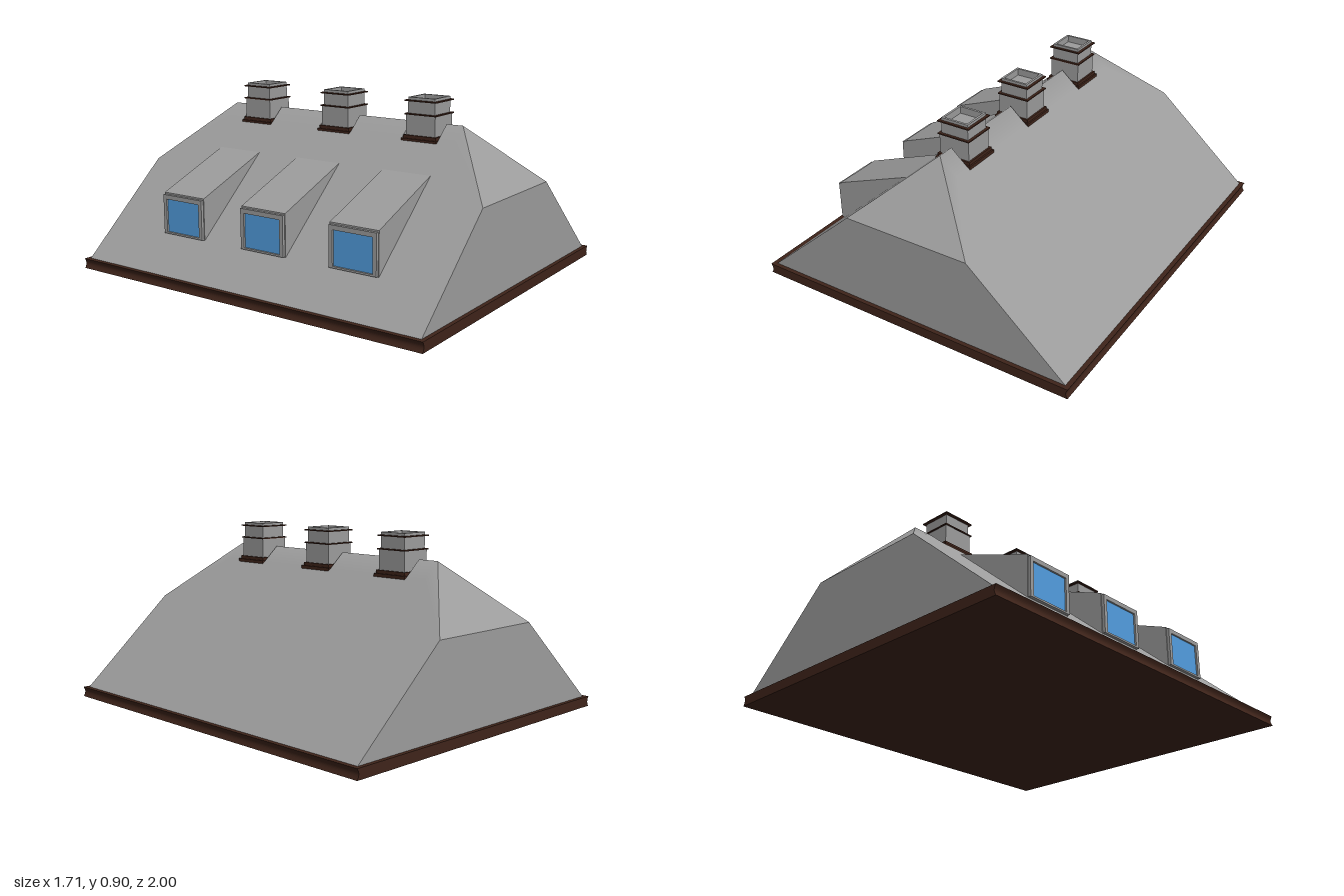
import * as THREE from 'three';

const grey = new THREE.MeshStandardMaterial({ color: 0x9c9c9c });
const brown = new THREE.MeshStandardMaterial({ color: 0x3f241a });
const blue = new THREE.MeshStandardMaterial({ color: 0x529ee0 });

const EAVE = 0.05, RIDGE = 0.78, HALF = 0.83, NOTCH = 0.7;
const chimneyZ = [-0.485, 0.015, 0.51];
const dormerZ = [-0.48, 0.02, 0.53];

function add(parent, name, geometry, material, x = 0, y = 0, z = 0) {
  const mesh = new THREE.Mesh(geometry, material);
  mesh.name = name;
  mesh.position.set(x, y, z);
  parent.add(mesh);
  return mesh;
}

const shapeOf = (pts) => new THREE.Shape(pts.map(([x, y]) => new THREE.Vector2(x, y)));
const rect = (x0, y0, x1, y1) => [[x0, y0], [x1, y0], [x1, y1], [x0, y1]];

function extrude(pts, depth, hole) {
  const shape = shapeOf(pts);
  if (hole) shape.holes.push(shapeOf(hole));
  return new THREE.ExtrudeGeometry(shape, { depth, bevelEnabled: false });
}

// Cross-sections along z, each cut off at height h; the ridge is softly shaded
function roofGeometry() {
  const stations = [[-0.98, 0.49], [-0.695, RIDGE]];
  for (const z of chimneyZ) {
    stations.push([z - 0.098, RIDGE], [z - 0.098, NOTCH], [z + 0.098, NOTCH], [z + 0.098, RIDGE]);
  }
  stations.push([0.695, RIDGE], [0.98, 0.49]);
  const halfAt = (h) => HALF * (RIDGE - h) / (RIDGE - EAVE);
  const rings = stations.map(([z, h]) => {
    const t = halfAt(h), low = Math.min(h, NOTCH), s = halfAt(low);
    return [[-HALF, EAVE], [-s, low], [-t, h], [t, h], [s, low], [HALF, EAVE]]
      .map(([x, y]) => new THREE.Vector3(x, y, z));
  });
  const pos = [], nor = [];
  const up = new THREE.Vector3(0, 1, 0);
  const triangle = (smooth, ...pts) => {
    const n = pts[1].clone().sub(pts[0]).cross(pts[2].clone().sub(pts[0]));
    if (n.length() < 1e-7) return;
    n.normalize();
    for (const p of pts) {
      pos.push(...p.toArray());
      nor.push(...(smooth && p.y === RIDGE ? up : n).toArray());
    }
  };
  const quad = (a, b, c, d, smooth = false) => {
    triangle(smooth, a, b, c);
    triangle(smooth, a, c, d);
  };
  for (let i = 0; i < rings.length - 1; i++) {
    const a = rings[i], b = rings[i + 1];
    for (let k = 0; k < 5; k++) quad(a[k], b[k], b[k + 1], a[k + 1], k === 1 || k === 3);
  }
  const back = rings[0], front = rings[rings.length - 1];
  quad(back[0], back[2], back[3], back[5]);
  quad(front[5], front[3], front[2], front[0]);
  const geo = new THREE.BufferGeometry();
  geo.setAttribute('position', new THREE.Float32BufferAttribute(pos, 3));
  geo.setAttribute('normal', new THREE.Float32BufferAttribute(nor, 3));
  return geo;
}

function makeChimney() {
  const g = new THREE.Group();
  g.name = 'chimney';
  const block = (name, half, y0, y1, mat) =>
    add(g, name, new THREE.BoxGeometry(half * 2, y1 - y0, half * 2), mat, 0, (y0 + y1) / 2, 0);
  block('flashing', 0.097, 0.692, 0.708, brown);
  block('flashingStep', 0.089, 0.708, 0.724, brown);
  block('lowerStack', 0.08, 0.7, 0.822, grey);
  block('middleBand', 0.086, 0.821, 0.827, brown);
  block('upperStack', 0.073, 0.827, 0.87, grey);
  // Hollow top with a thin projecting band
  const ring = (name, outer, inner, y, h, mat) => {
    const mesh = add(g, name, extrude(rect(-outer, -outer, outer, outer), h,
      rect(-inner, -inner, inner, inner)), mat, 0, y, 0);
    mesh.rotation.x = -Math.PI / 2;
  };
  ring('stackRim', 0.073, 0.062, 0.87, 0.034, grey);
  ring('topBand', 0.086, 0.072, 0.885, 0.006, brown);
  return g;
}

function makeDormer() {
  const g = new THREE.Group();
  g.name = 'dormer';
  const w = 0.13, f = 0.126;
  // Wedge running back into the roof slope
  add(g, 'dormerBody', extrude([[-0.655, 0.203], [-0.23, 0.577], [-0.655, 0.412]], w * 2), grey, 0, 0, -w);
  // Window frame and pane facing -x
  const frame = add(g, 'windowFrame', extrude(rect(-f, 0.207, f, 0.404), 0.015,
    rect(-0.106, 0.216, 0.106, 0.382)), grey, -0.655);
  frame.rotation.y = -Math.PI / 2;
  add(g, 'windowPane', new THREE.BoxGeometry(0.008, 0.166, 0.212), blue, -0.657, 0.299, 0);
  return g;
}

export function createModel() {
  const model = new THREE.Group();
  model.name = 'roof';

  // Eaves board with hollowed long edges
  const edge = [];
  for (let i = 0; i <= 10; i++) edge.push([0.853 - 0.009 * Math.sin(Math.PI * i / 10), EAVE * i / 10]);
  const profile = [...edge, ...edge.map(([x, y]) => [-x, y]).reverse()];
  add(model, 'eavesBoard', extrude(profile, 2), brown, 0, 0, -1);

  add(model, 'hippedRoof', roofGeometry(), grey);

  for (const z of chimneyZ) {
    const chimney = makeChimney();
    chimney.position.set(0.003, 0, z);
    model.add(chimney);
  }
  for (const z of dormerZ) {
    const dormer = makeDormer();
    dormer.position.z = z;
    model.add(dormer);
  }
  return model;
}
